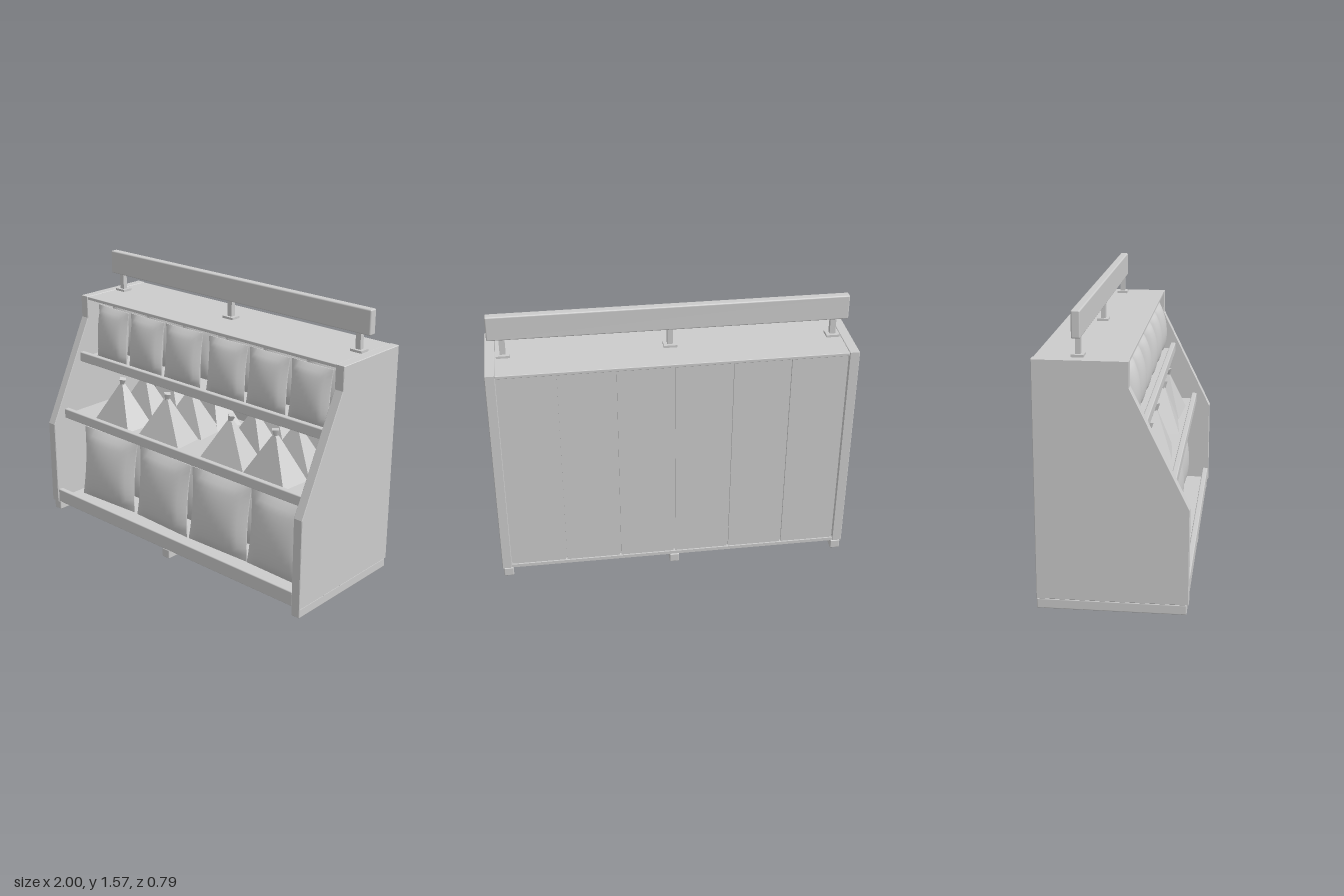
import * as THREE from 'three';
import { RoundedBoxGeometry } from 'three/addons/geometries/RoundedBoxGeometry.js';

export function createModel() {
  const root = new THREE.Group();
  root.name = 'snackDisplayStand';
  const mat = new THREE.MeshStandardMaterial({ color: 0xcccccc });

  let seed = 7;
  const jitter = (a) => {
    seed = (seed * 16807) % 2147483647;
    return (seed / 2147483647 - 0.5) * 2 * a;
  };
  const add = (name, geo, x = 0, y = 0, z = 0, parent = root) => {
    const m = new THREE.Mesh(geo, mat);
    m.name = name;
    m.position.set(x, y, z);
    parent.add(m);
    return m;
  };
  // Box given by its limits on each axis, with softened edges when r > 0
  const box = (name, x0, x1, y0, y1, z0, z1, r = 0) => {
    const s = [x1 - x0, y1 - y0, z1 - z0];
    const geo = r ? new RoundedBoxGeometry(...s, 2, r) : new THREE.BoxGeometry(...s);
    return add(name, geo, (x0 + x1) / 2, (y0 + y1) / 2, (z0 + z1) / 2);
  };

  // Side panels: profile drawn in (z, y), extruded along x
  const b = 0.003;
  const profile = new THREE.Shape([
    [0.395 - b, 0.06 + b], [0.395 - b, 0.58], [0.09 - b, 1.2], [0.09 - b, 1.335 - b],
    [-0.395 + b, 1.335 - b], [-0.395 + b, 0.06 + b],
  ].map(([z, y]) => new THREE.Vector2(-z, y)));
  const panelGeo = new THREE.ExtrudeGeometry(profile, {
    depth: 0.055 - 2 * b, bevelEnabled: true, bevelSize: b, bevelThickness: b, bevelSegments: 1,
  });
  panelGeo.rotateY(Math.PI / 2);
  add('rightSidePanel', panelGeo, -1 + b);
  add('leftSidePanel', panelGeo, 0.945 + b);

  // Floor runners
  for (const x of [-0.965, 0, 0.965]) box('floorRunner', x - 0.028, x + 0.028, 0.003, 0.058, -0.395, 0.385, 0.006);

  // Top board and planked back
  const W = 0.945;
  box('topBoard', -W, W, 1.315, 1.333, -0.393, 0.085, 0.003);
  box('backBoard', -W, W, 0.07, 1.32, -0.372, -0.362);
  const plank = (2 * W) / 6;
  for (let i = 0; i < 6; i++) {
    const x = -W + i * plank;
    box('backPlank', x + 0.004, x + plank - 0.004, 0.08, 1.315, -0.385, -0.372);
  }

  // Shelves: deck, front lip and a cleat under each end
  const shelves = [
    { y: 0.06, top: 0.145, z: 0.39, back: -0.393 },
    { y: 0.605, top: 0.665, z: 0.31, back: -0.362 },
    { y: 0.94, top: 1.0, z: 0.167, back: -0.362 },
  ];
  for (const s of shelves) {
    box('shelfDeck', -W, W, s.y, s.y + 0.02, s.back, s.z - 0.03);
    box('shelfLip', -W, W, s.y, s.top, s.z - 0.032, s.z, 0.006);
    for (const side of [-1, 1]) {
      const x = side * 0.92;
      box('shelfCleat', x - 0.023, x + 0.023, s.y - 0.014, s.y, -0.3, s.z - 0.09);
    }
  }

  // Header sign on three posts
  box('headerSign', -0.98, 0.98, 1.435, 1.575, -0.197, -0.15, 0.008);
  for (const x of [-0.9, 0, 0.9]) {
    box('signPostBase', x - 0.037, x + 0.037, 1.333, 1.346, -0.206, -0.142);
    box('signPost', x - 0.016, x + 0.016, 1.34, 1.44, -0.187, -0.16);
  }

  // Pillow bag: puffed in the middle, thin at its seams, sides drawn in
  const bagGeometry = (w, h, half) => {
    const g = new THREE.BoxGeometry(w, h, 0.006, 10, 12, 1);
    const p = g.attributes.position;
    for (let i = 0; i < p.count; i++) {
      const u = (2 * p.getX(i)) / w, v = (2 * p.getY(i)) / h;
      const puff = Math.pow(Math.max(0, 1 - u * u), 0.6) * Math.pow(Math.max(0, 1 - v * v), 0.6);
      p.setX(i, p.getX(i) * (1 - 0.07 * (1 - v * v)));
      p.setZ(i, Math.sign(p.getZ(i)) * (0.003 + half * puff));
    }
    g.computeVertexNormals();
    return g;
  };
  const bagRows = (name, geo, h, xs, y, zs) => {
    const group = new THREE.Group();
    group.name = name + 's';
    root.add(group);
    for (const x of xs) zs.forEach((z, row) => {
      const k = row ? 1 : 0.5;
      const m = add(name, geo, x + jitter(0.012 * k), y + h / 2, z, group);
      m.rotation.set(-0.08, jitter(0.08), jitter(0.015 * k));
    });
  };
  bagRows('largeBag', bagGeometry(0.44, 0.45, 0.075), 0.45, [-0.66, -0.2, 0.25, 0.695], 0.082, [0.2, 0.03, -0.13, -0.27]);
  bagRows('smallBag', bagGeometry(0.285, 0.325, 0.06), 0.325, [-0.76, -0.46, -0.165, 0.18, 0.48, 0.765], 0.962, [0.058, -0.08, -0.21]);

  // Triangular packets: four-sided taper with a twisted tuft on top
  const packetGeo = new THREE.BoxGeometry(0.31, 0.245, 0.19);
  const p = packetGeo.attributes.position;
  for (let i = 0; i < p.count; i++) {
    if (p.getY(i) > 0) p.setXYZ(i, p.getX(i) * 0.09, p.getY(i), p.getZ(i) * 0.12);
  }
  packetGeo.computeVertexNormals();
  const tuftGeo = new THREE.CylinderGeometry(0.026, 0.012, 0.045, 4);
  for (const x of [-0.57, -0.2, 0.28, 0.62]) {
    for (const z of [0.145, -0.045, -0.235]) {
      const packet = new THREE.Group();
      packet.name = 'triangularPacket';
      packet.position.set(x + jitter(0.02), 0.625, z);
      packet.rotation.y = jitter(0.12);
      add('packetBody', packetGeo, 0, 0.1225, 0, packet);
      add('packetTuft', tuftGeo, 0, 0.258, 0, packet).rotation.z = jitter(0.3);
      root.add(packet);
    }
  }

  return root;
}
